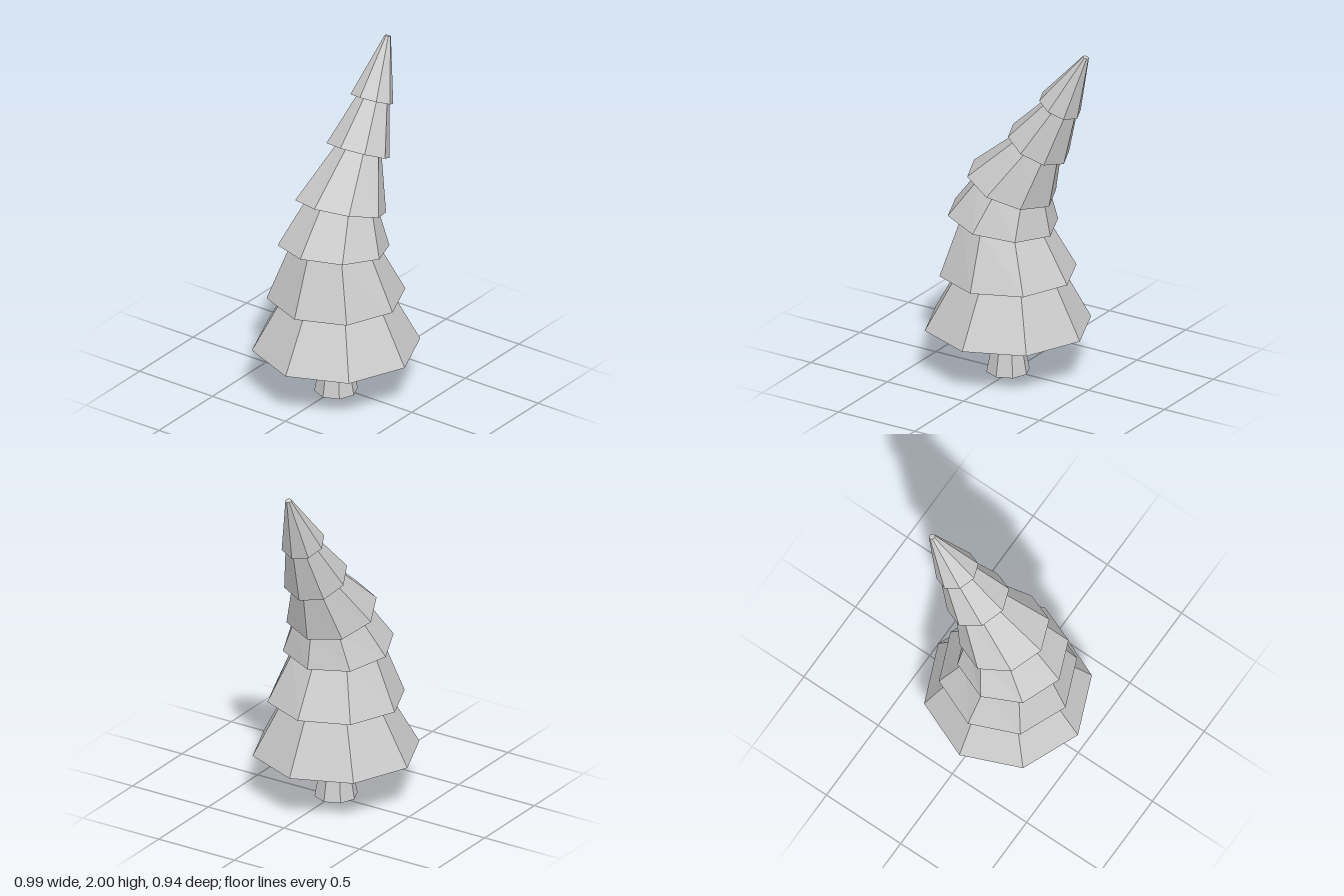
import * as THREE from 'three';

const SIDES = 8;
const material = new THREE.MeshStandardMaterial({ color: 0xcccccc, flatShading: true, side: THREE.DoubleSide });

// Ring: [centre x, centre y, centre z, radius, lean toward +x in degrees]
function ringPoint([x, y, z, r, lean], j) {
  const a = ((j % SIDES) / SIDES) * Math.PI * 2;
  const t = THREE.MathUtils.degToRad(lean);
  const c = r * Math.cos(a), s = r * Math.sin(a);
  const roll = lean > 0 ? 0.03 : 0;
  return [x + c * Math.cos(t), y - c * Math.sin(t) + s * roll, z + s];
}

// Joins consecutive octagonal rings; a ring of radius 0 closes the end
function loft(name, rings) {
  const pos = [];
  for (let i = 0; i < rings.length - 1; i++) {
    for (let j = 0; j < SIDES; j++) {
      const a = ringPoint(rings[i], j), b = ringPoint(rings[i + 1], j);
      const c = ringPoint(rings[i + 1], j + 1), d = ringPoint(rings[i], j + 1);
      if (rings[i + 1][3] > 0) pos.push(...a, ...b, ...c);
      if (rings[i][3] > 0) pos.push(...a, ...c, ...d);
    }
  }
  const geometry = new THREE.BufferGeometry();
  geometry.setAttribute('position', new THREE.Float32BufferAttribute(pos, 3));
  geometry.computeVertexNormals();
  const mesh = new THREE.Mesh(geometry, material);
  mesh.name = name;
  return mesh;
}

export function createModel() {
  const tree = new THREE.Group();
  tree.name = 'leaningTree';

  // Waisted trunk, flaring into the hollow under the lowest branches
  tree.add(loft('trunk', [
    [-0.027, 0, 0, 0, 0],
    [-0.027, 0, 0, 0.122, 0],
    [-0.027, 0.21, 0, 0.083, 0],
    [-0.027, 0.43, 0, 0.12, 0],
  ]));

  // Lower rim and upper neck of each branch tier
  const rims = [
    [-0.027, 0.28, 0, 0.471, 0],
    [-0.027, 0.6, 0, 0.388, 0],
    [-0.057, 0.915, 0.005, 0.314, 8],
    [0.003, 1.135, 0.01, 0.26, 19],
    [0.175, 1.408, 0.003, 0.185, 26.5],
    [0.312, 1.67, -0.003, 0.125, 26],
  ];
  const necks = [
    [-0.02, 0.6, 0, 0.297, 0],
    [-0.045, 0.907, 0.003, 0.25, 8],
    [0.018, 1.13, 0.008, 0.21, 19],
    [0.18, 1.405, 0.003, 0.135, 26.5],
    [0.325, 1.667, -0.003, 0.095, 26],
    [0.475, 1.993, -0.014, 0.018, 16],
  ];

  rims.forEach((rim, i) => {
    // The lowest tier is hollowed out; the others close onto the neck below
    const underside = i === 0
      ? [[-0.027, 0.43, 0, 0.11, 0], [-0.027, 0.43, 0, 0.3, 0]]
      : [necks[i - 1]];
    const top = i === rims.length - 1 ? [[0.475, 1.993, -0.014, 0, 16]] : [];
    tree.add(loft(`branchTier${i + 1}`, [...underside, rim, necks[i], ...top]));
  });

  return tree;
}
